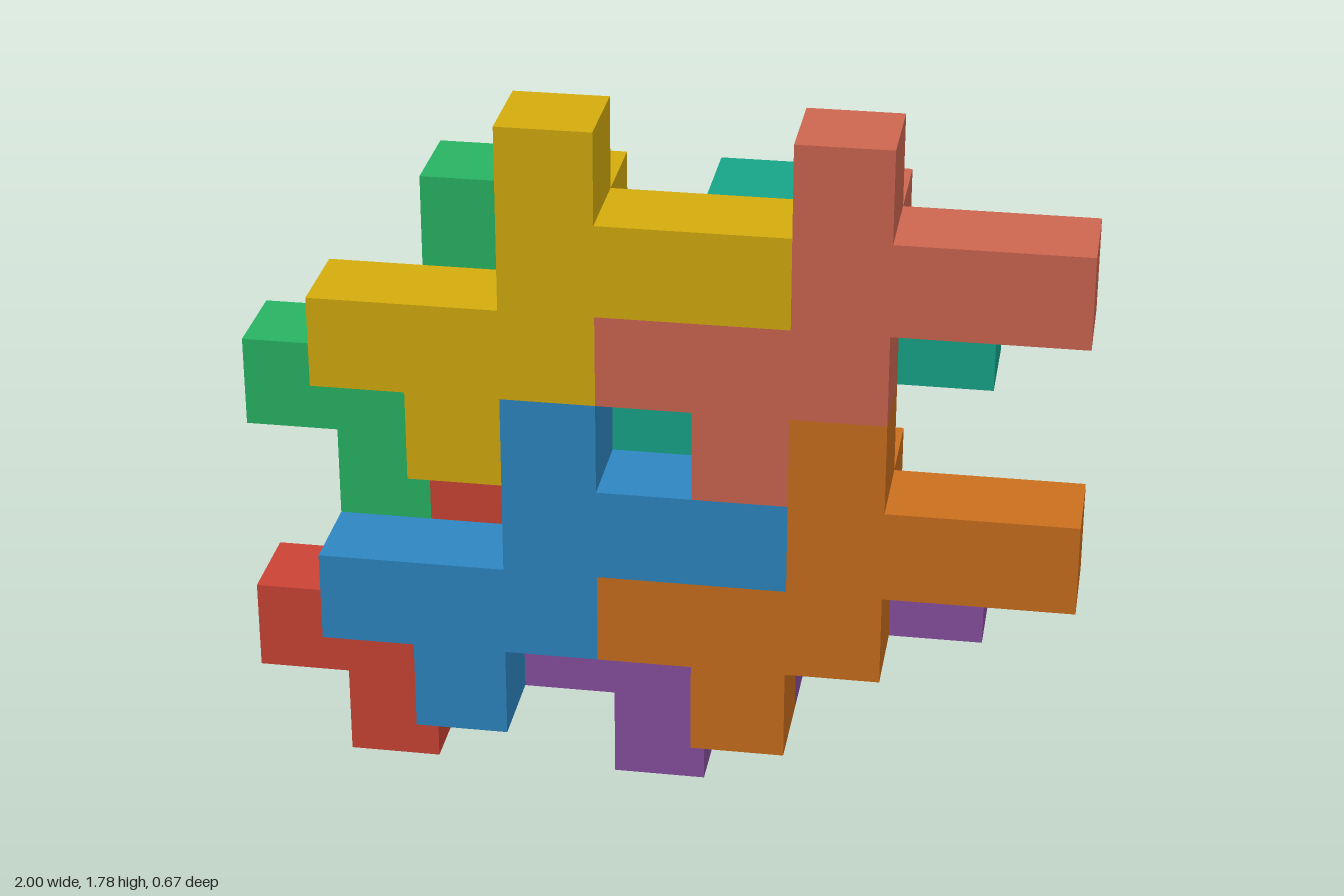
import * as THREE from 'three';

const U = 2 / 9; // edge of one cube cell

// Outline of one piece in cells, measured from the lower left corner of its hub cell
const OUTLINE = [
  [-1, -2], [0, -2], [0, -1], [1, -1], [1, 0], [3, 0], [3, 1],
  [1, 1], [1, 2], [0, 2], [0, 0], [-2, 0], [-2, -1], [-1, -1],
];

// name, colour, hub column, hub row, layer (1 = front, 0 = behind it)
const PIECES = [
  ['yellowPiece', 0xd4ac0d, 3, 6, 1],
  ['salmonPiece', 0xcd6650, 6, 6, 1],
  ['bluePiece', 0x2e86c1, 3, 3, 1],
  ['orangePiece', 0xca6f1e, 6, 3, 1],
  ['greenPiece', 0x28b463, 2, 5, 0],
  ['tealPiece', 0x17a589, 5, 5, 0],
  ['redPiece', 0xcb4335, 2, 2, 0],
  ['purplePiece', 0x884ea0, 5, 2, 0],
];

function makePiece([name, color, col, row, layer], plateGeometry, stubGeometry) {
  const material = new THREE.MeshStandardMaterial({ color, flatShading: true });
  const piece = new THREE.Group();
  piece.name = name;

  // Flat branching plate
  const plate = new THREE.Mesh(plateGeometry, material);
  plate.name = 'plate';

  // Single cube sticking out behind the hub
  const stub = new THREE.Mesh(stubGeometry, material);
  stub.name = 'rearStub';
  stub.position.set(U / 2, U / 2, -U / 2);

  piece.add(plate, stub);
  piece.position.set((col - 4.5) * U, row * U, (layer - 0.5) * U);
  return piece;
}

export function createModel() {
  const shape = new THREE.Shape(OUTLINE.map(([x, y]) => new THREE.Vector2(x * U, y * U)));
  const plateGeometry = new THREE.ExtrudeGeometry(shape, { depth: U, bevelEnabled: false });
  const stubGeometry = new THREE.BoxGeometry(U, U, U);

  const model = new THREE.Group();
  model.name = 'interlockingCubePieces';
  for (const spec of PIECES) model.add(makePiece(spec, plateGeometry, stubGeometry));
  return model;
}
